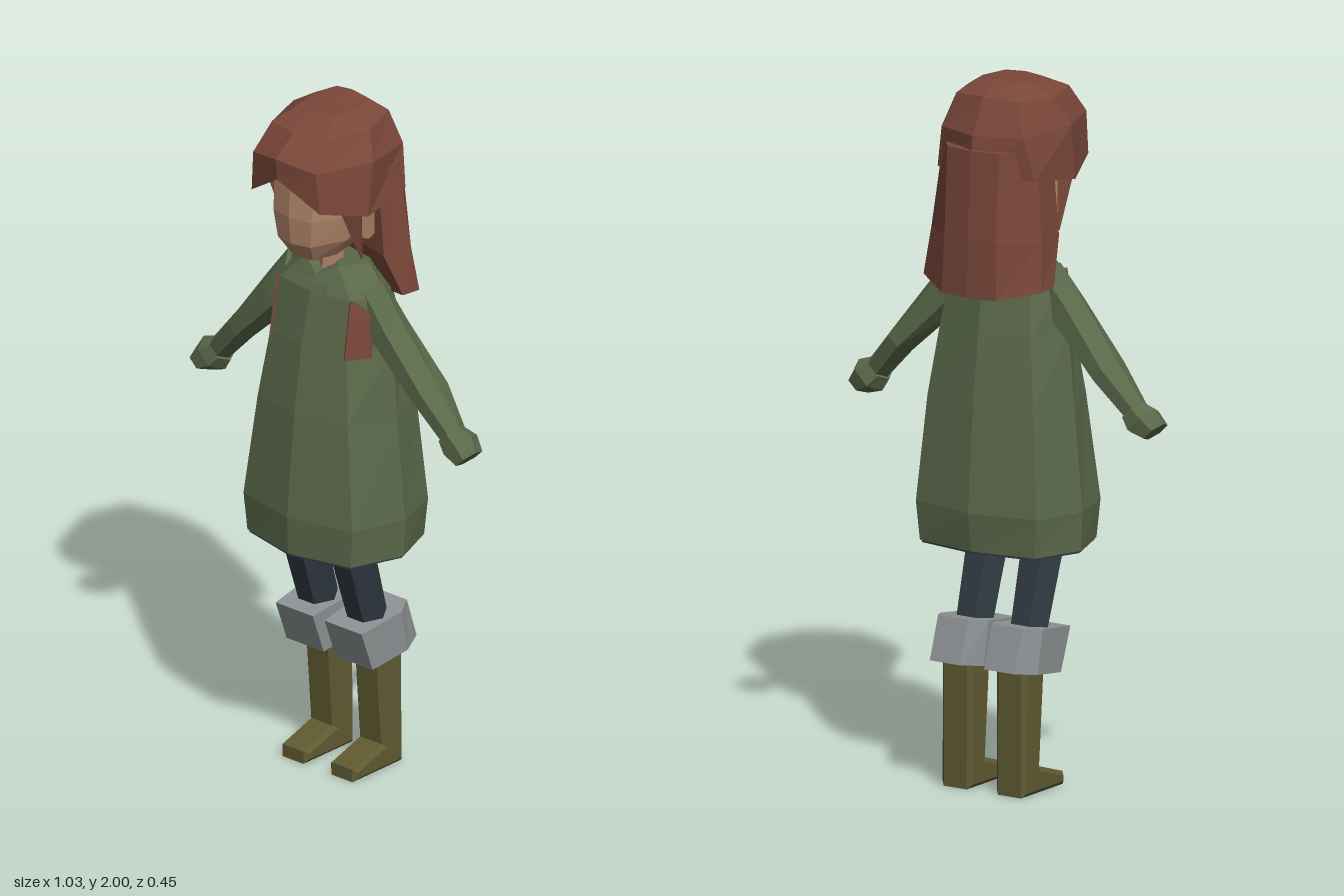
import * as THREE from 'three';

const mat = (name, color) => {
  const m = new THREE.MeshStandardMaterial({ color });
  m.name = name;
  return m;
};

// Complete a half section (front centre to back centre) by mirroring it in x
const sym = (half) => [...half,
  ...half.filter((p) => p[0] > 0).reverse().map(([x, y, z]) => [-x, y, z])];
const level = (y, half) => sym(half.map(([x, z]) => [x, y, z]));

// Skin a list of closed rings, bottom to top, with optional end caps
function loft(rings, capStart = true, capEnd = true) {
  const pos = [];
  const tri = (a, b, c) => pos.push(...a, ...b, ...c);
  const n = rings[0].length;
  const mean = (r) => [0, 1, 2].map((k) => r.reduce((s, p) => s + p[k], 0) / n);
  const first = rings[0], last = rings[rings.length - 1];
  const c0 = mean(first), c1 = mean(last);
  for (let j = 0; j < n; j++) {
    const k = (j + 1) % n;
    for (let i = 0; i + 1 < rings.length; i++) {
      tri(rings[i][j], rings[i][k], rings[i + 1][k]);
      tri(rings[i][j], rings[i + 1][k], rings[i + 1][j]);
    }
    if (capStart) tri(c0, first[k], first[j]);
    if (capEnd) tri(c1, last[j], last[k]);
  }
  const g = new THREE.BufferGeometry();
  g.setAttribute('position', new THREE.Float32BufferAttribute(pos, 3));
  g.computeVertexNormals();
  return g;
}

// Copy a geometry to the other side in x, keeping its faces outward
function mirror(geo) {
  const g = geo.index ? geo.toNonIndexed() : geo.clone();
  const p = g.attributes.position;
  for (let i = 0; i < p.count; i += 3) {
    const v = [0, 2, 1].map((k) => new THREE.Vector3().fromBufferAttribute(p, i + k));
    v.forEach((q, k) => p.setXYZ(i + k, -q.x, q.y, q.z));
  }
  g.computeVertexNormals();
  return g;
}

export function createModel() {
  const root = new THREE.Group();
  const hair = mat('hair', 0x7a4739);
  const skin = mat('skin', 0xb08468);
  const green = mat('coat', 0x5b694a);
  const navy = mat('trousers', 0x2f3841);
  const grey = mat('cuffs', 0x8d9294);
  const olive = mat('boots', 0x605a31);

  const add = (name, geo, material) => {
    const m = new THREE.Mesh(geo, material);
    m.name = name;
    root.add(m);
  };
  const pair = (name, geo, material) => {
    add('left' + name, geo, material);
    add('right' + name, mirror(geo), material);
  };

  // Coat body
  const hem = [[0, 0.17], [0.19, 0.125], [0.245, -0.03], [0.19, -0.175], [0, -0.205]];
  add('coat', loft([
    level(0.69, hem),
    level(0.8, [[0, 0.175], [0.2, 0.13], [0.25, -0.03], [0.2, -0.18], [0, -0.22]]),
    level(1.1, [[0, 0.145], [0.165, 0.11], [0.222, -0.03], [0.175, -0.16], [0, -0.195]]),
    level(1.3, [[0, 0.115], [0.14, 0.085], [0.205, -0.03], [0.15, -0.135], [0, -0.17]]),
    level(1.45, [[0, 0.08], [0.13, 0.06], [0.19, -0.03], [0.13, -0.11], [0, -0.15]]),
    sym([[0, 1.49, 0.055], [0.06, 1.525, 0.03], [0.12, 1.535, -0.03], [0.07, 1.53, -0.09], [0, 1.53, -0.11]]),
  ], false), green);
  const inset = hem.map(([x, z]) => [x * 0.975, z * 0.975]);
  add('coatLining', loft([level(0.683, inset), level(0.75, inset)]), navy);
  const tab = new THREE.BoxGeometry(0.1, 0.02, 0.02);
  tab.rotateX(-0.4).translate(0, 1.465, 0.074);
  add('collarTab', tab, green);

  // Red panels beside the armpits
  pair('ArmpitPanel', loft([
    [[0.138, 1.285, 0.093], [0.18, 1.285, 0.028], [0.174, 1.285, 0.024], [0.132, 1.285, 0.089]],
    [[0.136, 1.41, 0.073], [0.18, 1.4, 0.012], [0.174, 1.4, 0.008], [0.13, 1.41, 0.069]],
    [[0.135, 1.455, 0.064], [0.145, 1.445, 0.05], [0.139, 1.445, 0.046], [0.129, 1.455, 0.06]],
  ]), hair);

  // Sleeves and mittens: six-sided sections across a 45 degree axis
  const section = ([x, y, z, a, b]) => Array.from({ length: 6 }, (_, i) => {
    const t = i * Math.PI / 3, s = Math.cos(t) * a * Math.SQRT1_2;
    return [x + s, y + s, z + Math.sin(t) * b * 1.15];
  });
  pair('Sleeve', loft([
    [0.12, 1.44, -0.025, 0.075, 0.045],
    [0.2, 1.36, -0.022, 0.06, 0.05],
    [0.34, 1.21, -0.033, 0.042, 0.056],
    [0.43, 1.108, -0.03, 0.036, 0.034],
  ].map(section)), green);
  pair('Mitten', loft([
    [0.42, 1.112, -0.03, 0.04, 0.036],
    [0.452, 1.088, -0.032, 0.055, 0.047],
    [0.49, 1.06, -0.026, 0.036, 0.04],
  ].map(section)), green);

  // Trouser legs, leaning back towards the knee
  const legRing = (y, z, rx, rz) => Array.from({ length: 6 }, (_, i) => {
    const t = (i + 0.5) * Math.PI / 3;
    return [0.09 + Math.sin(t) * rx, y, z + Math.cos(t) * rz * 1.15];
  });
  pair('Trouser', loft([
    legRing(0.38, -0.08, 0.055, 0.05),
    legRing(0.48, -0.048, 0.06, 0.05),
    legRing(0.76, 0.035, 0.072, 0.055),
  ]), navy);

  // Boot cuffs
  const cuffRing = (rows) => {
    const right = rows.map(([x, y, z]) => [0.09 + x, y, z]);
    return [...right, ...rows.map(([x, y, z]) => [0.09 - x, y, z]).reverse()];
  };
  pair('Cuff', loft([
    cuffRing([[0.068, 0.33, 0], [0.08, 0.35, -0.13], [0.05, 0.362, -0.2]]),
    cuffRing([[0.068, 0.452, 0.045], [0.08, 0.473, -0.105], [0.05, 0.482, -0.16]]),
  ]), grey);

  // Boots, extruded from their side outline
  const outline = [[0.05, 0], [0.05, 0.037], [-0.068, 0.075], [-0.045, 0.38], [-0.148, 0.38], [-0.15, 0]];
  const boot = new THREE.ExtrudeGeometry(
    new THREE.Shape(outline.map(([z, y]) => new THREE.Vector2(z, y))),
    { depth: 0.076, bevelEnabled: true, bevelSize: 0.012, bevelOffset: -0.012, bevelThickness: 0.012, bevelSegments: 1 });
  boot.rotateY(-Math.PI / 2).translate(0.128, 0, 0);
  pair('Boot', boot, olive);

  // Head, neck and ears
  add('head', loft([
    level(1.565, [[0, 0.12], [0.04, 0.112], [0.06, 0.04], [0.045, -0.04], [0, -0.05]]),
    level(1.62, [[0, 0.16], [0.06, 0.145], [0.1, 0.04], [0.085, -0.06], [0, -0.09]]),
    level(1.7, [[0, 0.168], [0.07, 0.152], [0.117, 0.04], [0.11, -0.08], [0, -0.12]]),
    level(1.85, [[0, 0.16], [0.075, 0.14], [0.12, 0.03], [0.11, -0.09], [0, -0.13]]),
  ]), skin);
  const neck = new THREE.CylinderGeometry(0.034, 0.036, 0.17, 6).toNonIndexed();
  neck.translate(0, 1.535, -0.005).computeVertexNormals();
  add('neck', neck, skin);
  const ear = new THREE.BoxGeometry(0.03, 0.09, 0.04);
  ear.rotateY(0.3).translate(0.125, 1.67, -0.012);
  pair('Ear', ear, skin);

  // Hair cap with a parted fringe
  add('hairCap', loft([
    sym([[0, 1.84, 0.13], [0.1, 1.78, 0.1], [0.13, 1.74, 0.03], [0.12, 1.78, -0.1], [0, 1.78, -0.15]]),
    sym([[0, 1.832, 0.215], [0.125, 1.752, 0.18], [0.178, 1.715, 0.04], [0.162, 1.74, -0.13], [0, 1.75, -0.208]]),
    sym([[0, 1.895, 0.222], [0.115, 1.87, 0.185], [0.178, 1.87, 0.02], [0.135, 1.86, -0.15], [0, 1.86, -0.198]]),
    sym([[0, 1.95, 0.15], [0.095, 1.95, 0.13], [0.142, 1.95, -0.01], [0.1, 1.955, -0.13], [0, 1.96, -0.145]]),
    sym([[0, 1.99, 0.06], [0.06, 1.988, 0.05], [0.08, 1.987, -0.03], [0.055, 1.993, -0.09], [0, 2, -0.09]]),
  ]), hair);

  // Long hair down the back
  add('backHair', loft([
    sym([[0, 1.42, -0.12], [0.193, 1.44, -0.085], [0.195, 1.435, -0.15], [0.09, 1.41, -0.215], [0, 1.41, -0.226]]),
    sym([[0, 1.57, -0.07], [0.172, 1.57, -0.03], [0.182, 1.57, -0.13], [0.085, 1.57, -0.21], [0, 1.57, -0.22]]),
    sym([[0, 1.82, -0.05], [0.15, 1.82, -0.03], [0.155, 1.82, -0.11], [0.085, 1.82, -0.195], [0, 1.82, -0.208]]),
  ]), hair);

  // Pointed locks in front of the ears
  pair('SideLock', loft([
    [[0.135, 1.57, 0.024], [0.14, 1.57, 0.02], [0.135, 1.57, 0.016]],
    [[0.125, 1.76, 0.11], [0.168, 1.76, 0.06], [0.125, 1.76, 0.01]],
  ]), hair);

  return root;
}
